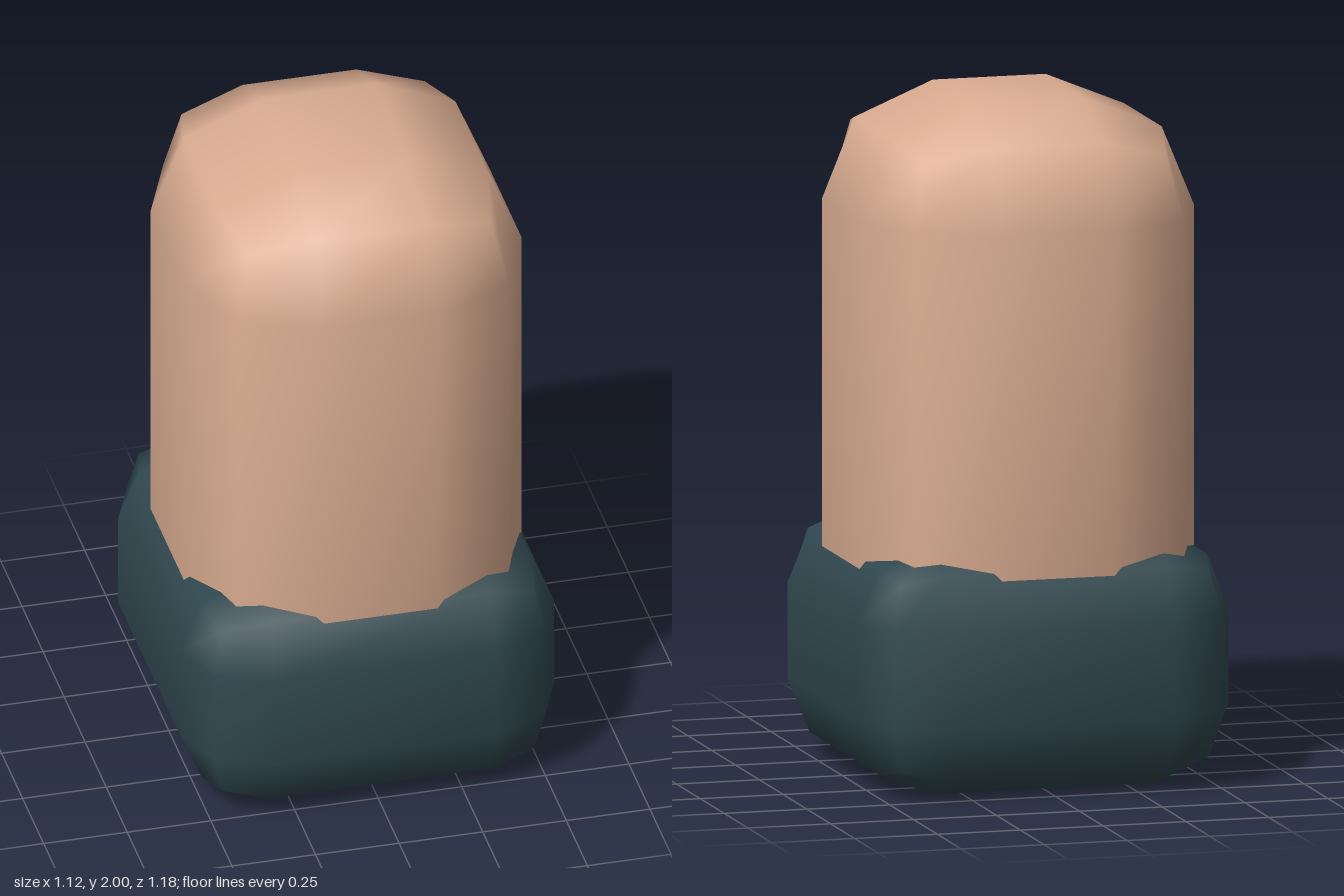
import * as THREE from 'three';
import { RoundedBoxGeometry } from 'three/addons/geometries/RoundedBoxGeometry.js';
import { mergeVertices } from 'three/addons/utils/BufferGeometryUtils.js';

const tan = new THREE.MeshStandardMaterial({ name: 'tan', color: 0xdcae92 });
const darkTeal = new THREE.MeshStandardMaterial({ name: 'darkTeal', color: 0x30484f });

// Box with a two-facet bevel on every edge and normals averaged over all faces
function bevelledBlock(name, width, depth, bottom, top, radius, material) {
  let geometry = new RoundedBoxGeometry(width, top - bottom, depth, 1, radius);
  geometry.deleteAttribute('normal');
  geometry.deleteAttribute('uv');
  geometry.clearGroups();
  geometry = mergeVertices(geometry);
  geometry.computeVertexNormals();
  const mesh = new THREE.Mesh(geometry, material);
  mesh.name = name;
  mesh.position.y = (bottom + top) / 2;
  return mesh;
}

export function createModel() {
  const model = new THREE.Group();
  model.name = 'cuffedBlock';
  // Wide cuff at the foot
  model.add(bevelledBlock('cuff', 1.12, 1.18, 0, 0.735, 0.225, darkTeal));
  // Tall rounded body rising out of the cuff
  model.add(bevelledBlock('body', 1.01, 1.066, 0.3, 2, 0.335, tan));
  return model;
}
